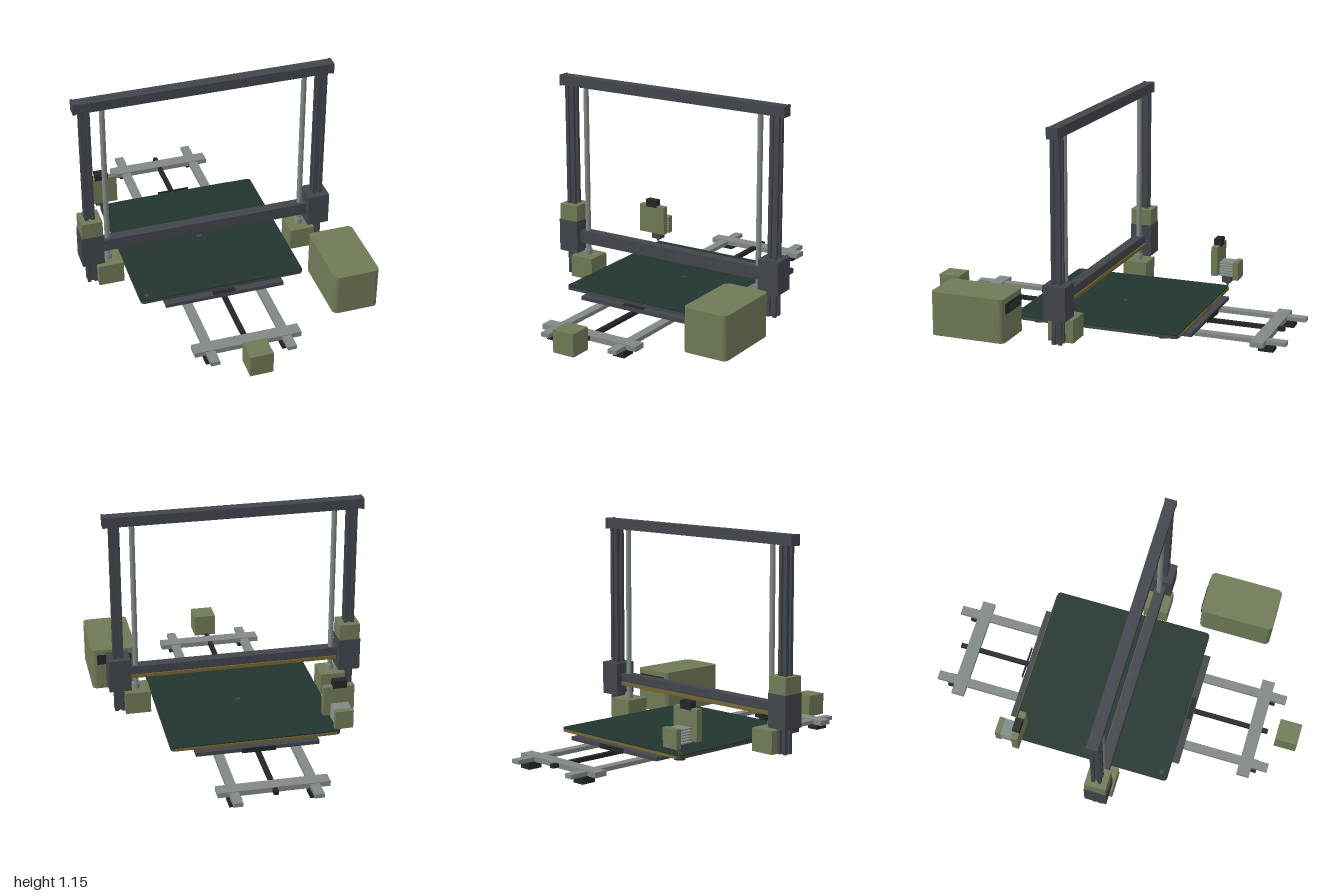
import * as THREE from 'three';

const mat = (name, color) => {
  const m = new THREE.MeshStandardMaterial({ color });
  m.name = name;
  return m;
};

export function createModel() {
  const root = new THREE.Group();
  root.name = 'printer';
  const olive = mat('olive plastic', 0x707a56);
  const slate = mat('slate aluminium', 0x41454b);
  const steel = mat('steel', 0x808884);
  const black = mat('black rubber', 0x242526);
  const green = mat('dark green bed', 0x21352d);
  const gold = mat('brass', 0x75652c);

  const add = (name, geo, material, x = 0, y = 0, z = 0) => {
    const mesh = new THREE.Mesh(geo, material);
    mesh.name = name;
    mesh.position.set(x, y, z);
    root.add(mesh);
    return mesh;
  };
  // Box given by its extents on each axis
  const box = (name, m, x0, x1, y0, y1, z0, z1) =>
    add(name, new THREE.BoxGeometry(x1 - x0, y1 - y0, z1 - z0), m,
      (x0 + x1) / 2, (y0 + y1) / 2, (z0 + z1) / 2);
  const rod = (name, m, r0, r1, y0, y1, x, z, sides = 24) =>
    add(name, new THREE.CylinderGeometry(r1, r0, y1 - y0, sides), m, x, (y0 + y1) / 2, z);
  // Upright slab with rounded corners in plan
  const slab = (name, m, x0, x1, y0, y1, z0, z1, r, seg = 4) => {
    const w = (x1 - x0) / 2, d = (z1 - z0) / 2, s = new THREE.Shape();
    s.moveTo(-w + r, -d);
    s.lineTo(w - r, -d);
    s.absarc(w - r, -d + r, r, -Math.PI / 2, 0);
    s.absarc(w - r, d - r, r, 0, Math.PI / 2);
    s.absarc(-w + r, d - r, r, Math.PI / 2, Math.PI);
    s.absarc(-w + r, -d + r, r, Math.PI, Math.PI * 1.5);
    const g = new THREE.ExtrudeGeometry(s, { depth: y1 - y0, bevelEnabled: false, curveSegments: seg });
    g.rotateX(-Math.PI / 2);
    return add(name, g, m, (x0 + x1) / 2, y0, (z0 + z1) / 2);
  };

  const cx = -0.027; // centre line of the machine
  const gz = 0.053;  // depth of the gantry

  // Slotted aluminium profile for the posts
  const profile = () => {
    const h = 0.026, a = 0.008, d = 0.012, s = new THREE.Shape();
    const side = [[-h, -h], [-a, -h], [-a, -h + d], [a, -h + d], [a, -h]];
    for (let k = 0; k < 4; k++) {
      const c = Math.round(Math.cos(k * Math.PI / 2)), n = Math.round(Math.sin(k * Math.PI / 2));
      side.forEach(([x, y], i) => {
        const p = [x * c - y * n, x * n + y * c];
        k + i === 0 ? s.moveTo(...p) : s.lineTo(...p);
      });
    }
    s.closePath();
    return s;
  };

  // Gantry: posts, screws, motors and carriages on both sides
  for (const s of [-1, 1]) {
    const post = new THREE.ExtrudeGeometry(profile(), { depth: 1.045, bevelEnabled: false });
    post.rotateX(-Math.PI / 2);
    add('post', post, slate, cx + s * 0.621, 0.05, gz);
    const sx = cx + s * 0.529;
    rod('leadScrew', steel, 0.014, 0.014, 0.17, 1.095, sx, gz);
    rod('screwCoupler', steel, 0.02, 0.02, 0.17, 0.2, sx, gz);
    box('liftMotor', olive, sx - 0.067, sx + 0.067, 0.05, 0.17, gz - 0.068, gz + 0.068);
    const bx = cx + s * 0.619;
    box('gantryBlock', slate, bx - 0.058, bx + 0.058, 0.184, 0.36, gz - 0.06, gz + 0.06);
  }
  box('crossMotor', olive, -0.7, -0.59, 0.36, 0.447, gz - 0.057, gz + 0.057);
  box('topBeam', slate, -0.695, 0.641, 1.096, 1.149, gz - 0.029, gz + 0.029);
  for (const x of [-0.7, 0.646]) box('beamCap', slate, x - 0.006, x + 0.006, 1.094, 1.151, gz - 0.031, gz + 0.031);
  box('crossBeam', slate, -0.59, 0.54, 0.237, 0.304, gz - 0.025, gz + 0.029);
  box('crossBelt', gold, -0.58, 0.53, 0.24, 0.258, gz - 0.032, gz - 0.025);

  // Base frame: rails, cross bars, feet
  for (const x of [-0.227, 0.174]) {
    box('rail', steel, x - 0.024, x + 0.024, 0.035, 0.056, -1, 0.883);
    for (const z of [-0.9, 0.787]) box('foot', black, x - 0.032, x + 0.032, 0, 0.035, z - 0.039, z + 0.039);
  }
  for (const z of [-0.865, 0.762]) box('crossBar', steel, -0.307, 0.254, 0.033, 0.06, z - 0.035, z + 0.035);
  box('bedBelt', black, cx - 0.012, cx + 0.012, 0.038, 0.058, -0.935, 0.83);
  box('bedMotor', olive, -0.087, 0.033, 0.027, 0.145, 0.88, 1);

  // Bed carriage with belt clamps and levelling knobs
  box('bedCarriage', slate, -0.345, 0.293, 0.06, 0.08, -0.54, 0.415);
  box('frontBeltClamp', black, -0.09, 0.033, 0.078, 0.084, 0.383, 0.411);
  box('rearBeltClamp', black, -0.115, 0.06, 0.06, 0.085, -0.553, -0.547);
  for (const x of [cx - 0.338, cx + 0.338]) for (const z of [-0.4, 0.28]) {
    rod('levellingKnob', black, 0.028, 0.028, 0.05, 0.066, x, z);
    rod('levellingScrew', steel, 0.008, 0.008, 0.066, 0.084, x, z, 12);
  }

  // Heated bed
  slab('bedPlate', slate, -0.466, 0.413, 0.083, 0.099, -0.505, 0.378, 0.02);
  slab('bedSurface', green, -0.466, 0.413, 0.099, 0.104, -0.505, 0.378, 0.02);
  box('bedUnderside', black, -0.45, 0.397, 0.081, 0.083, -0.49, 0.362);
  box('bedRearStrip', gold, -0.446, 0.393, 0.084, 0.097, -0.509, -0.505);
  box('bedMark', slate, -0.035, -0.008, 0.104, 0.106, -0.078, -0.06);
  box('bedCornerMark', slate, -0.438, -0.418, 0.104, 0.106, 0.33, 0.35);

  // Print head: plate, cap, finned cooler, fan and nozzle
  const hx = -0.465, hz = -0.495;
  box('headPlate', olive, -0.543, -0.382, 0.175, 0.334, -0.46, -0.425);
  box('headCap', black, -0.502, -0.43, 0.325, 0.367, -0.463, -0.424);
  rod('coolerCore', steel, 0.018, 0.018, 0.155, 0.24, hx, hz);
  for (let i = 0; i < 6; i++) {
    const y = 0.168 + i * 0.0135;
    box('coolerFin', steel, hx - 0.046, hx + 0.046, y, y + 0.006, -0.538, -0.458);
  }
  box('coolerFan', olive, hx - 0.047, hx + 0.047, 0.15, 0.247, -0.566, -0.536);
  box('heaterBlock', slate, hx - 0.028, hx + 0.028, 0.127, 0.16, hz - 0.024, hz + 0.024);
  rod('nozzle', gold, 0.004, 0.015, 0.105, 0.127, hx, hz, 12);

  // Control box with a rear opening
  slab('controlBox', olive, 0.462, 0.703, 0.05, 0.278, 0.303, 0.703, 0.026, 3);
  box('controlOpening', black, 0.49, 0.675, 0.195, 0.25, 0.299, 0.303);
  box('controlBoard', green, 0.51, 0.63, 0.205, 0.235, 0.296, 0.299);

  return root;
}
